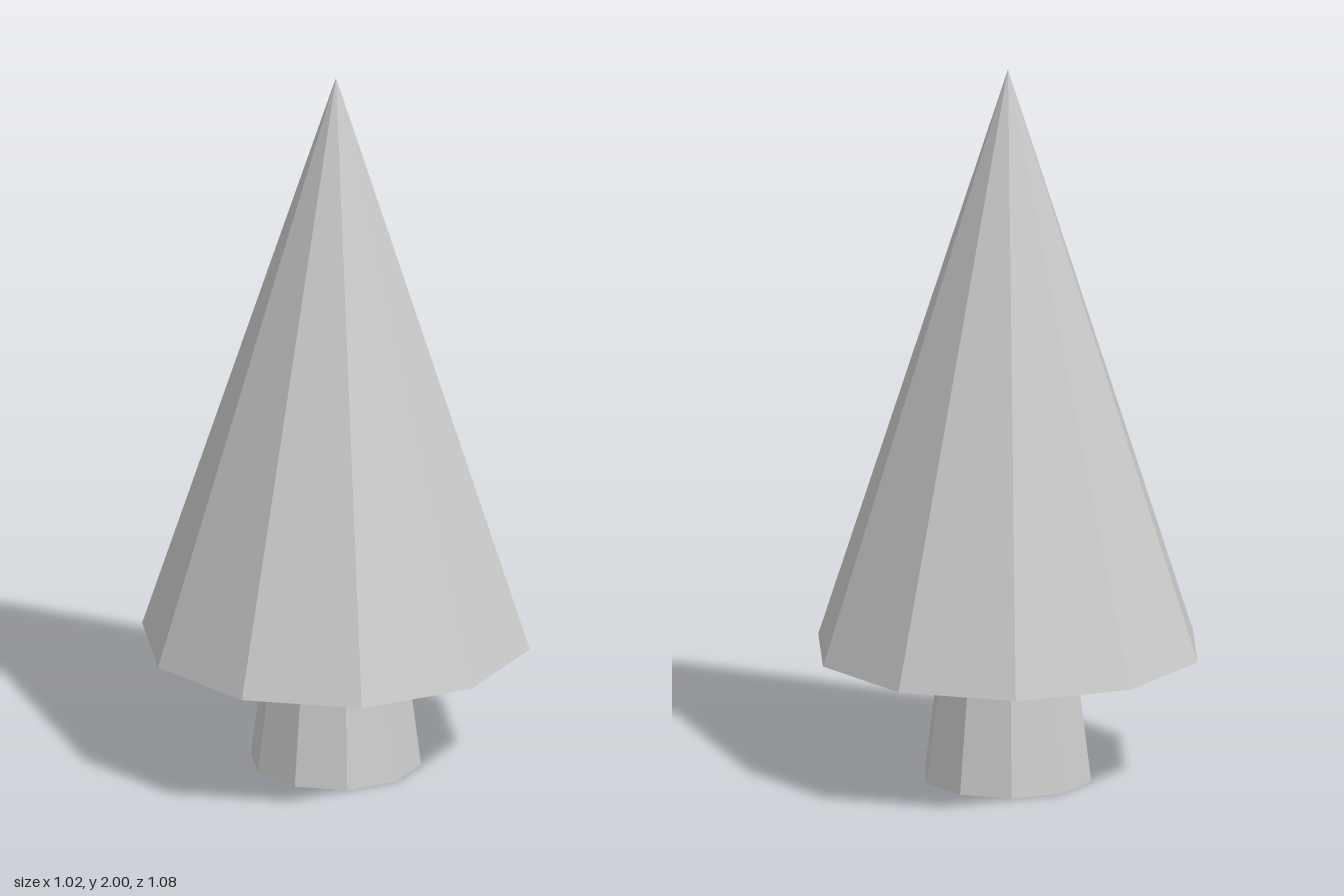
import * as THREE from 'three';

const SIDES = 10;
const TRUNK_HEIGHT = 0.36;
const TOTAL_HEIGHT = 2;

export function createModel() {
  const tree = new THREE.Group();
  tree.name = 'tree';

  const material = new THREE.MeshStandardMaterial({
    color: 0xcccccc,
    flatShading: true,
    side: THREE.DoubleSide,
  });

  // Tapered trunk, an open tube that meets the underside of the foliage
  const trunk = new THREE.Mesh(
    new THREE.CylinderGeometry(0.19, 0.236, TRUNK_HEIGHT, SIDES, 1, true),
    material
  );
  trunk.name = 'trunk';
  trunk.position.y = TRUNK_HEIGHT / 2;

  // Single closed cone of foliage
  const foliageHeight = TOTAL_HEIGHT - TRUNK_HEIGHT;
  const foliage = new THREE.Mesh(
    new THREE.ConeGeometry(0.538, foliageHeight, SIDES),
    material
  );
  foliage.name = 'foliage';
  foliage.position.y = TRUNK_HEIGHT + foliageHeight / 2;

  tree.add(trunk, foliage);
  return tree;
}
